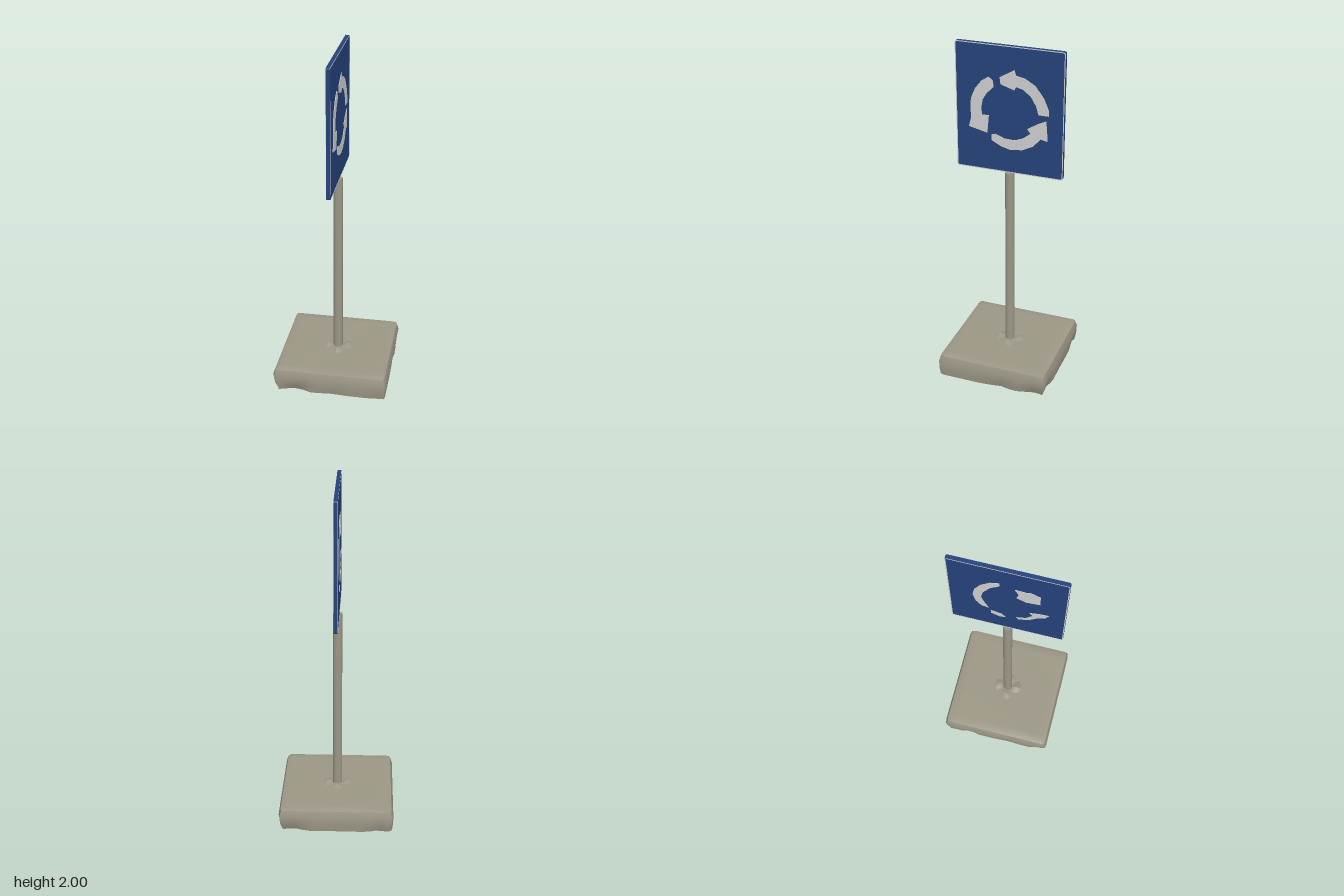
import * as THREE from 'three';
import { toCreasedNormals } from 'three/addons/utils/BufferGeometryUtils.js';

const concrete = new THREE.MeshStandardMaterial({ name: 'concrete', color: 0x9b9685 });
const signBlue = new THREE.MeshStandardMaterial({ name: 'sign blue', color: 0x24427a });
const paintWhite = new THREE.MeshStandardMaterial({ name: 'paint white', color: 0xcfcfcf });

const SIGN = { y: 1.63, width: 0.63, height: 0.74, thickness: 0.022 };

function part(name, geometry, material, parent) {
  const mesh = new THREE.Mesh(geometry, material);
  mesh.name = name;
  parent.add(mesh);
  return mesh;
}

// Rectangle with small rounded corners, centred on the origin
function roundedRect(w, h, r, target = new THREE.Shape()) {
  const x = w / 2 - r, y = h / 2 - r;
  target.absarc(x, y, r, 0, Math.PI / 2);
  target.absarc(-x, y, r, Math.PI / 2, Math.PI);
  target.absarc(-x, -y, r, Math.PI, Math.PI * 1.5);
  target.absarc(x, -y, r, Math.PI * 1.5, Math.PI * 2);
  target.closePath();
  return target;
}

// Worn concrete slab: rounded rim and a wavy, chipped lower edge
function slabGeometry() {
  const half = 0.34, height = 0.14, bevel = 0.014;
  const geo = new THREE.BoxGeometry(2, 1, 2, 16, 3, 16);
  const pos = geo.attributes.position;
  const spread = t => Math.sign(t) * half * Math.pow(Math.abs(t), 0.8);
  for (let i = 0; i < pos.count; i++) {
    const a = pos.getX(i), b = pos.getZ(i), v = pos.getY(i) + 0.5;
    let x = spread(a), z = spread(b), y = v * height;
    const onX = Math.abs(a) > 0.999, onZ = Math.abs(b) > 0.999;
    const chip = s => 0.008 + 0.026 * Math.pow(Math.max(0, Math.sin(s * 17 + 1) * Math.cos(s * 9)), 0.8);
    const inset = s => (v < 0.01 ? chip(s) : v > 0.99 ? bevel : v < 0.5 ? chip(s) * 0.3 : 0.002);
    if (onX) x -= Math.sign(a) * (inset(z + a * 0.3) + (onZ ? 0.006 : 0));
    if (onZ) z -= Math.sign(b) * (inset(x - b * 0.5) + (onX ? 0.006 : 0));
    if (v > 0.99) y -= onX || onZ ? 0.008 : 0.002 * (1 + Math.sin(x * 9 + z * 5));
    pos.setXYZ(i, x, y, z);
  }
  return toCreasedNormals(geo, 0.7);
}

// Broken collar where the pole enters the slab
function collarGeometry() {
  const profile = [[0.1, 0.13], [0.06, 0.148], [0.025, 0.134]].map(p => new THREE.Vector2(...p));
  const geo = new THREE.LatheGeometry(profile, 16);
  const pos = geo.attributes.position;
  for (let i = 0; i < pos.count; i++) {
    const x = pos.getX(i), z = pos.getZ(i), r = Math.hypot(x, z);
    if (r > 0.05 && r < 0.07) pos.setY(i, 0.148 + 0.012 * Math.cos(4 * Math.atan2(z, x)));
  }
  geo.computeVertexNormals();
  return geo;
}

// Painted outline, in hundredths of a unit from the panel centre
function painted(points) {
  const shape = new THREE.Shape(points.map(([x, y]) => new THREE.Vector2(x / 100, y / 100)));
  return new THREE.ExtrudeGeometry(shape, { depth: 0.0025, bevelEnabled: false });
}

// Three curved arrows circling the left face
const leftFaceArrows = {
  sideArrow: [[-12, 18.5], [-16, 16], [-20, 11], [-22.5, 5], [-23, -1], [-22.5, -6], [-24, -12],
    [-13, -14.5], [-12, -4], [-16, -4], [-16.5, 0], [-15.5, 5], [-13, 9], [-9, 13], [-9.5, 16.5]],
  topArrow: [[-5.5, 19], [3, 24], [4, 21], [9, 20], [15, 16.5], [20, 10], [23, 3], [23, 0],
    [17, 0], [15.5, 5], [12.5, 10], [8, 13.5], [4, 14.5], [3, 12.5], [-5, 15]],
  bottomArrow: [[-10.5, -15], [-10.5, -18.5], [-5, -21.5], [1, -23], [8, -22], [14, -19], [18.5, -14],
    [22.5, -15], [21.5, -3], [17, -5], [10.5, -9], [12.5, -11.5], [8, -15], [3, -16.8], [-3, -16.5], [-8, -14.5]],
};

// Worn remains of the arrows on the right face
const rightFaceArrows = {
  sideArc: [[-4, 21.5], [-9, 19.5], [-14, 14], [-17.5, 7], [-18.5, 0], [-17, -8], [-14, -13],
    [-10, -14], [-12, -9], [-14, -2], [-13, 5], [-9, 13], [-4, 18]],
  topPatch: [[4, 18], [10, 17.5], [12, 18.5], [17.5, 15.5], [17.5, 6], [10, 5], [5, 8], [6, 13]],
  lowerArrow: [[22.5, -6.5], [17, -7], [12, -8.5], [14, -11.5], [10, -17], [5, -19],
    [6, -21], [12, -18.5], [17, -12.5], [20.5, -11]],
  bottomPatch: [[-9, -17], [-3, -19], [-1, -22], [-4, -23], [-9, -20.5]],
};

function addFace(name, side, arrows, parent) {
  const face = new THREE.Group();
  face.name = name;
  face.rotation.y = side * Math.PI / 2;
  face.position.set(side * SIGN.thickness / 2, SIGN.y, 0);
  for (const [key, points] of Object.entries(arrows)) part(key, painted(points), paintWhite, face);
  // Thin painted edge line
  const border = roundedRect(SIGN.width, SIGN.height, 0.012);
  border.holes.push(roundedRect(SIGN.width - 0.01, SIGN.height - 0.01, 0.01, new THREE.Path()));
  part('edgeLine', new THREE.ExtrudeGeometry(border, { depth: 0.001, bevelEnabled: false }), paintWhite, face);
  parent.add(face);
}

export function createModel() {
  const model = new THREE.Group();
  model.name = 'roundaboutSign';

  part('base', slabGeometry(), concrete, model);
  part('collar', collarGeometry(), concrete, model);

  const pole = part('pole', new THREE.CylinderGeometry(0.027, 0.028, 1.135, 14), concrete, model);
  pole.position.y = 0.12 + 1.135 / 2;

  // Blue panel, edge-on to the front
  const panelGeo = new THREE.ExtrudeGeometry(roundedRect(SIGN.width, SIGN.height, 0.012),
    { depth: SIGN.thickness, bevelEnabled: false });
  panelGeo.translate(0, 0, -SIGN.thickness / 2);
  const panel = part('panel', panelGeo, signBlue, model);
  panel.rotation.y = Math.PI / 2;
  panel.position.y = SIGN.y;

  // Short tab joining panel and pole
  const tab = part('tab', new THREE.BoxGeometry(0.018, 0.03, 0.04), concrete, model);
  tab.position.y = 1.255;

  addFace('leftFace', 1, leftFaceArrows, model);
  addFace('rightFace', -1, rightFaceArrows, model);
  return model;
}
